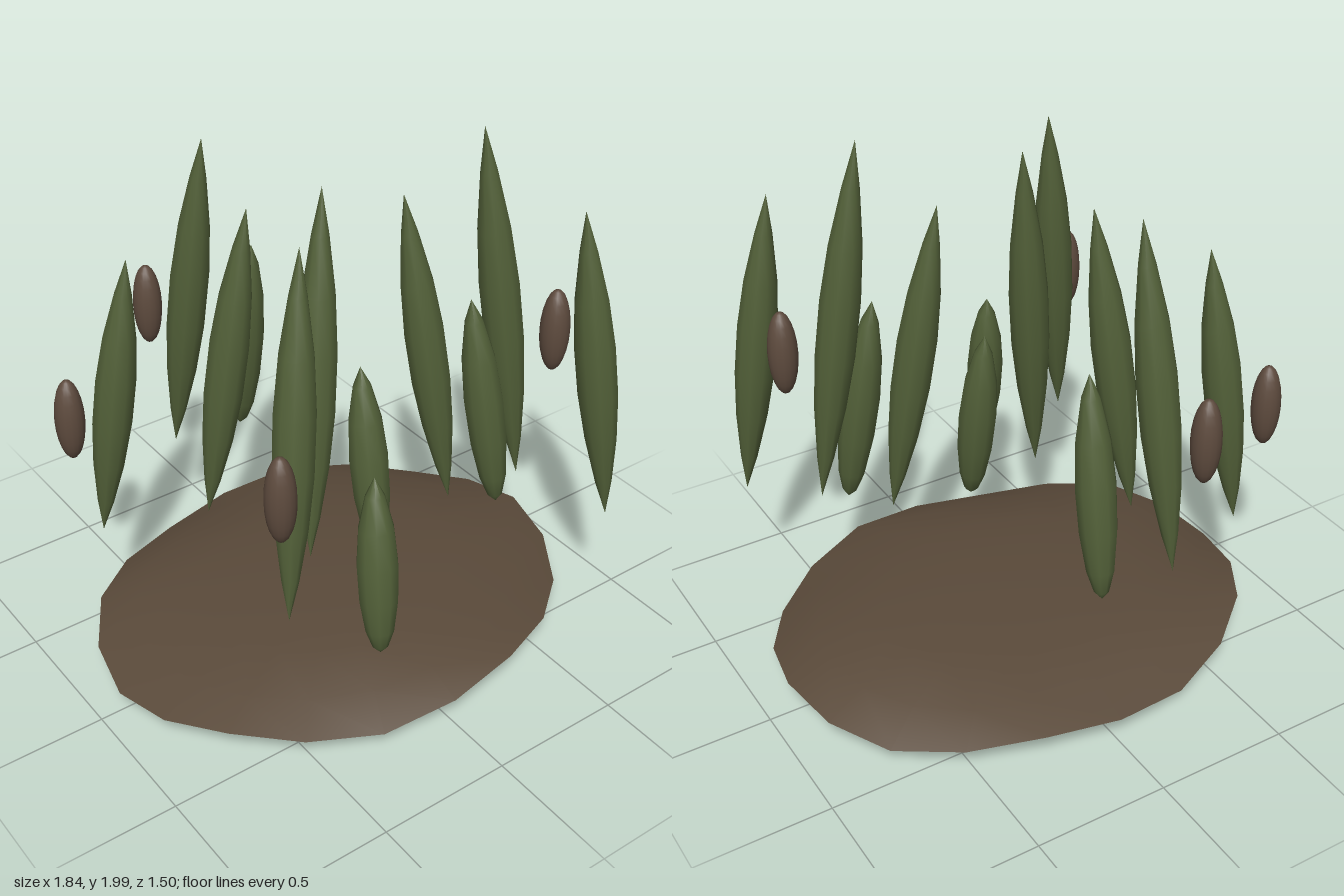
import * as THREE from 'three';
import { toCreasedNormals } from 'three/addons/utils/BufferGeometryUtils.js';

const soil = new THREE.MeshStandardMaterial({ color: 0x5a4a3a });
soil.name = 'soil brown';
const leaf = new THREE.MeshStandardMaterial({ color: 0x536139 });
leaf.name = 'reed green';
const pod = new THREE.MeshStandardMaterial({ color: 0x5e4b3e });
pod.name = 'seed head brown';

// Spindle profiles as [height fraction, radius fraction]
const TALL = [[0, 0], [0.12, 0.42], [0.27, 0.78], [0.42, 0.97], [0.58, 0.98], [0.73, 0.8], [0.88, 0.42], [1, 0]];
const SHORT = [[0, 0], [0.04, 0.38], [0.14, 0.7], [0.32, 0.94], [0.52, 1], [0.72, 0.85], [0.9, 0.46], [1, 0]];

// Leaning spindle from a foot point to a tip point
function blade(name, foot, tip, profile, radius) {
  const a = new THREE.Vector3(...foot);
  const axis = new THREE.Vector3(...tip).sub(a);
  const length = axis.length();
  const points = profile.map(([t, r]) => new THREE.Vector2(r * radius, t * length));
  const mesh = new THREE.Mesh(new THREE.LatheGeometry(points, 10), leaf);
  mesh.quaternion.setFromUnitVectors(new THREE.Vector3(0, 1, 0), axis.normalize());
  mesh.position.copy(a);
  mesh.name = name;
  return mesh;
}

// Flattened mound whose sharp rim waves up and down five times
function moundGeometry() {
  const rings = [[0, -1], [0.3, -0.96], [0.55, -0.83], [0.82, -0.5], [1, 0],
    [0.82, 0.5], [0.55, 0.83], [0.3, 0.96], [0, 1]];
  const geo = new THREE.LatheGeometry(rings.map(([r, y]) => new THREE.Vector2(r, y)), 20);
  const p = geo.attributes.position;
  for (let i = 0; i < p.count; i++) {
    const x = p.getX(i), z = p.getZ(i), r = Math.hypot(x, z);
    const wave = 0.027 * Math.cos(5 * Math.atan2(z, x)) * r ** 8;
    p.setXYZ(i, x * 0.92, 0.115 + p.getY(i) * 0.107 + wave, z * 0.745);
  }
  return toCreasedNormals(geo, 0.4);
}

export function createModel() {
  const model = new THREE.Group();
  model.name = 'reedClump';

  const mound = new THREE.Mesh(moundGeometry(), soil);
  mound.name = 'mound';
  model.add(mound);

  // Tall reeds: foot, tip
  [
    [[-0.73, 0.49, -0.39], [-0.6, 1.59, -0.31]],
    [[-0.53, 0.58, 0.5], [-0.39, 1.87, 0.38]],
    [[-0.4, 0.54, -0.2], [-0.25, 1.75, -0.12]],
    [[-0.26, 0.55, 0.24], [-0.125, 1.89, 0.125]],
    [[-0.28, 0.57, -0.62], [-0.205, 1.86, -0.455]],
    [[0.35, 0.55, 0.25], [0.2, 1.77, 0.13]],
    [[0.585, 0.62, 0.35], [0.42, 2, 0.26]],
    [[0.755, 0.54, 0.65], [0.625, 1.75, 0.54]],
  ].forEach(([foot, tip]) => model.add(blade('tallReed', foot, tip, TALL, 0.073)));

  // Short young leaves
  [
    [[0, 0.55, -0.6], [0, 1.38, -0.485]],
    [[0.01, 0.475, 0.27], [0, 1.2, 0.17]],
    [[-0.28, 0.435, 0.67], [-0.25, 1.09, 0.58]],
    [[0.465, 0.56, 0.38], [0.375, 1.39, 0.29]],
  ].forEach(([foot, tip]) => model.add(blade('shortLeaf', foot, tip, SHORT, 0.071)));

  // Brown seed heads
  [[-0.8, 0.975, -0.43], [-0.595, 1.14, 0.56], [-0.315, 1.14, -0.705], [0.67, 1.22, 0.4]].forEach((at) => {
    const head = new THREE.Mesh(new THREE.SphereGeometry(1, 16, 12), pod);
    head.scale.set(0.053, 0.16, 0.053);
    head.position.set(...at);
    head.name = 'seedHead';
    model.add(head);
  });

  return model;
}
